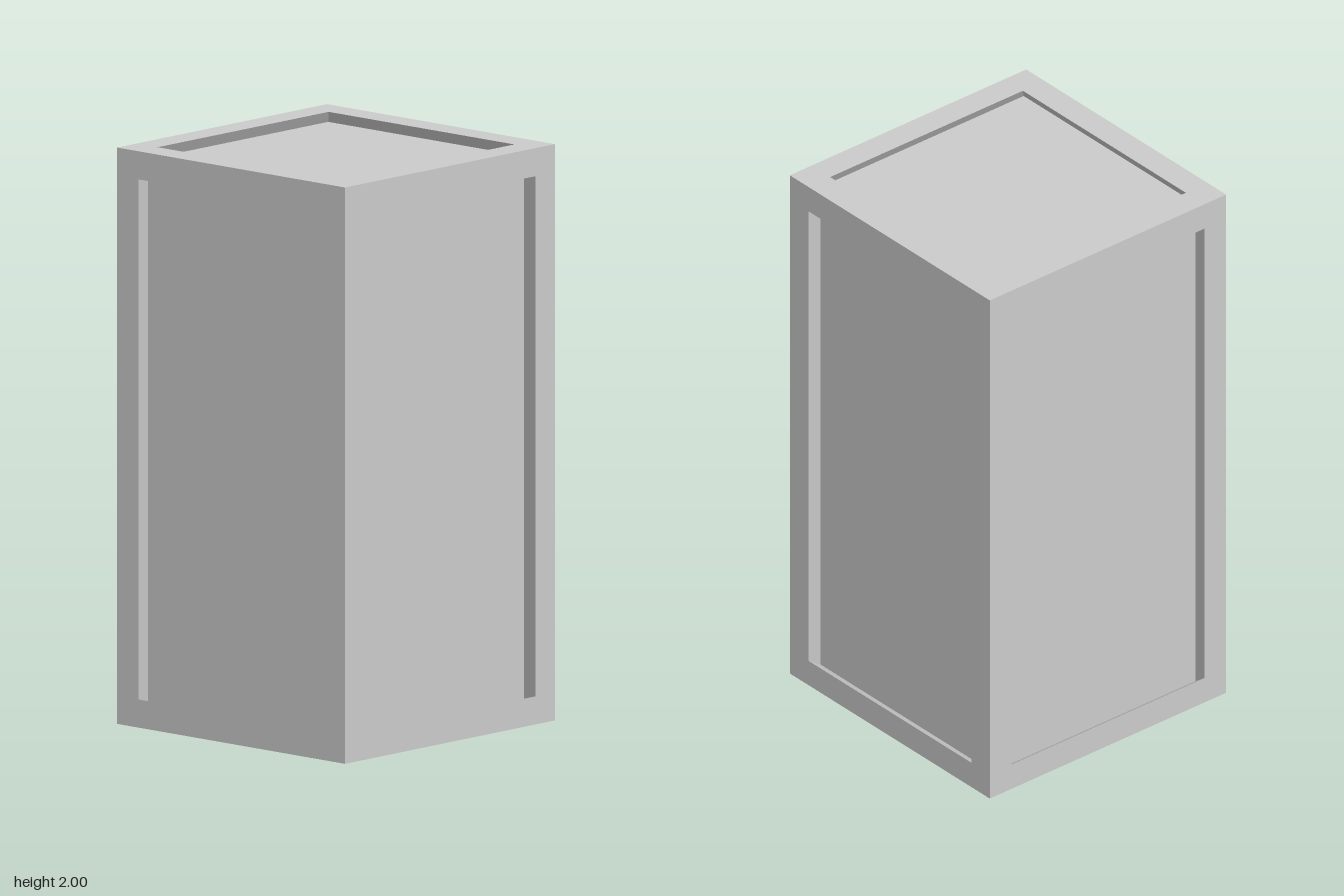
import * as THREE from 'three';

const HALF = 0.5275, HEIGHT = 2;      // outer size
const BAR = 0.0975;                   // width of the frame bars
const INSET = 0.0745, INSET_Y = 0.041; // setback of the inner body
const OPEN = HALF - BAR, BODY = HALF - INSET;

// Four corners of a rectangle facing +z, counter-clockwise
function rect(half, low, high, depth) {
  return [[-half, low, depth], [half, low, depth], [half, high, depth], [-half, high, depth]];
}

// Strips joining each rectangle to the next one
function frameGeometry(rects) {
  const points = [];
  for (let k = 0; k + 1 < rects.length; k++) {
    for (let i = 0; i < 4; i++) {
      const j = (i + 1) % 4;
      const a = rects[k][i], b = rects[k][j], c = rects[k + 1][j], d = rects[k + 1][i];
      points.push(...a, ...b, ...c, ...a, ...c, ...d);
    }
  }
  const geometry = new THREE.BufferGeometry();
  geometry.setAttribute('position', new THREE.Float32BufferAttribute(points, 3));
  geometry.computeVertexNormals();
  return geometry;
}

export function createModel() {
  const group = new THREE.Group();
  const material = new THREE.MeshStandardMaterial({ color: 0xcccccc, flatShading: true });

  function add(name, geometry) {
    const mesh = new THREE.Mesh(geometry, material);
    mesh.name = name;
    group.add(mesh);
    return mesh;
  }

  // Inner body whose faces are the recessed panels
  add('panelBody', new THREE.BoxGeometry(2 * BODY, HEIGHT - 2 * INSET_Y, 2 * BODY))
    .position.y = HEIGHT / 2;

  // Four side frames with undercut reveals running back to the body
  const side = frameGeometry([
    rect(HALF, 0, HEIGHT, HALF),
    rect(OPEN, BAR, HEIGHT - BAR, HALF),
    rect(BODY, INSET_Y, HEIGHT - INSET_Y, BODY),
  ]);
  ['frontFrame', 'leftFrame', 'backFrame', 'rightFrame'].forEach((name, i) => {
    add(name, side).rotation.y = i * Math.PI / 2;
  });

  // Top frame
  add('topFrame', frameGeometry([
    rect(HALF, -HALF, HALF, HEIGHT),
    rect(OPEN, -OPEN, OPEN, HEIGHT),
    rect(BODY, -BODY, BODY, HEIGHT - INSET_Y),
  ])).rotation.x = -Math.PI / 2;

  // Closed flat base
  add('base', new THREE.PlaneGeometry(2 * HALF, 2 * HALF)).rotation.x = Math.PI / 2;

  return group;
}
